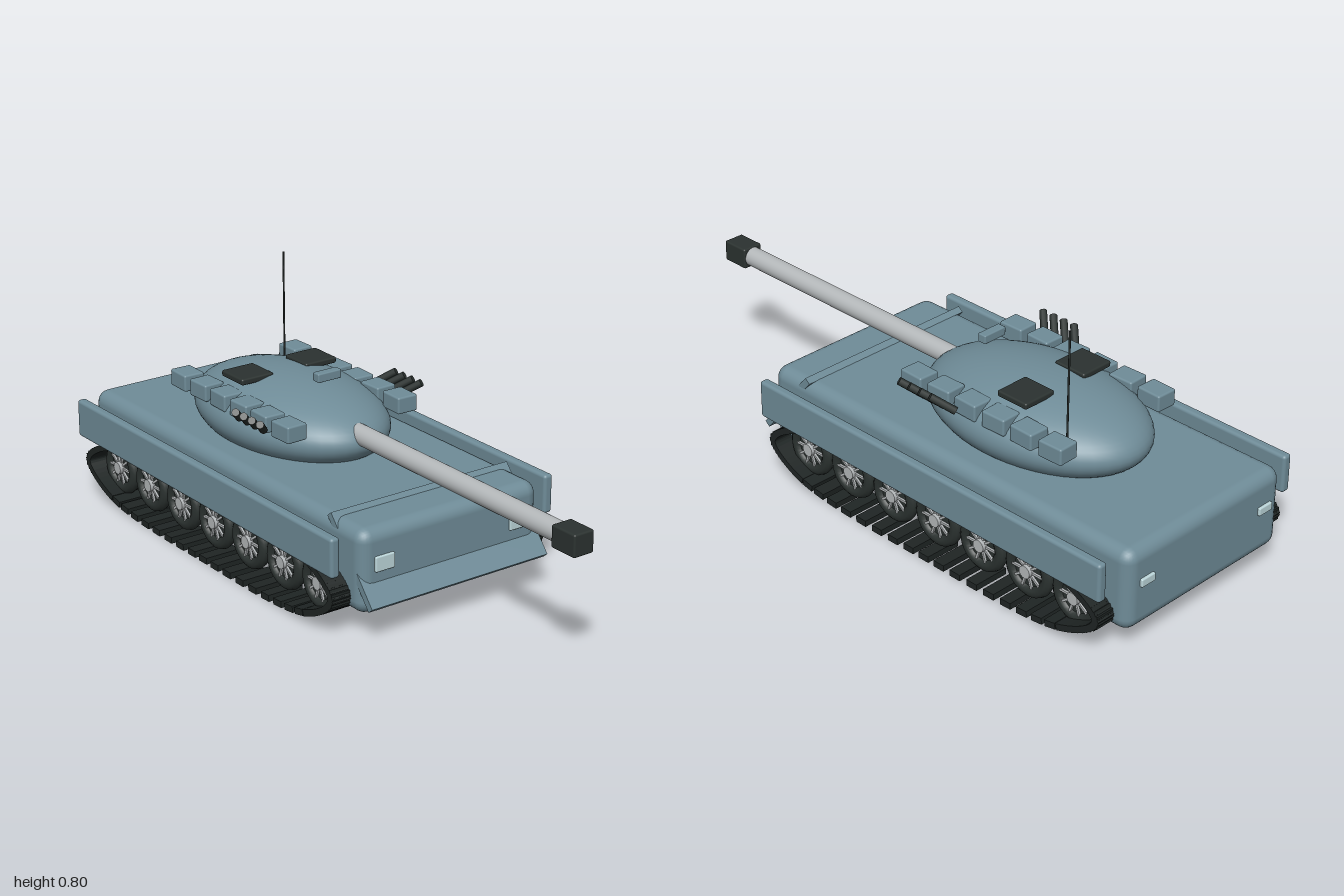
import * as THREE from 'three';
import { RoundedBoxGeometry } from 'three/addons/geometries/RoundedBoxGeometry.js';

const paint = (name, color) => {
  const m = new THREE.MeshStandardMaterial({ color });
  m.name = name;
  return m;
};

export function createModel() {
  const armour = paint('armour blue grey', 0x6f8c98);
  const dark = paint('dark metal', 0x2b3230);
  const rubber = paint('track rubber', 0x1f2524);
  const steel = paint('bare steel', 0xb4b8ba);
  const lamp = paint('lamp glass', 0xbcd6da);

  const tank = new THREE.Group();
  tank.name = 'tank';
  const add = (name, geometry, material, x, y, z, parent = tank) => {
    const mesh = new THREE.Mesh(geometry, material);
    mesh.name = name;
    mesh.position.set(x, y, z);
    parent.add(mesh);
    return mesh;
  };
  const box = (w, h, d, r) => new RoundedBoxGeometry(w, h, d, 3, r);

  // Hull and the sloped front plate that passes through it
  add('hull', box(1.435, 0.26, 0.645, 0.04), armour, -0.273, 0.2, 0);
  const glacis = add('glacisPlate', new THREE.BoxGeometry(0.3, 0.022, 0.64), armour, 0.386, 0.222, 0);
  glacis.rotation.z = -0.87;

  // Turret, gun and roof fittings
  const dome = add('turret', new THREE.SphereGeometry(1, 48, 32), armour, -0.35, 0.385, 0);
  dome.scale.set(0.385, 0.128, 0.25);
  const barrel = add('gunBarrel', new THREE.CylinderGeometry(0.031, 0.031, 0.95, 32), steel, 0.45, 0.412, 0);
  barrel.rotation.z = Math.PI / 2;
  add('muzzle', box(0.095, 0.068, 0.07, 0.006), dark, 0.9525, 0.412, 0);
  add('sight', box(0.03, 0.028, 0.085, 0.004), armour, -0.16, 0.55, 0);
  add('antenna', new THREE.CylinderGeometry(0.003, 0.003, 0.345, 8), dark, -0.605, 0.6225, -0.155);

  // Closed path followed by the track links
  const path = new THREE.CatmullRomCurve3([
    [-0.93, 0.12], [-0.81, 0.2], [-0.27, 0.229], [0.27, 0.2],
    [0.38, 0.12], [0.27, 0.04], [-0.27, 0.011], [-0.81, 0.04],
  ].map(([x, y]) => new THREE.Vector3(x, y, 0)), true);

  const linkGeometry = new THREE.BoxGeometry(0.04, 0.02, 0.12);
  const tyreGeometry = new THREE.TorusGeometry(0.068, 0.02, 10, 32);
  const backGeometry = new THREE.CylinderGeometry(0.06, 0.06, 0.016, 24).rotateX(Math.PI / 2);
  const hubGeometry = new THREE.CylinderGeometry(0.02, 0.02, 0.05, 16).rotateX(Math.PI / 2);
  const spokeGeometry = new THREE.BoxGeometry(0.05, 0.007, 0.012).translate(0.035, 0, 0);
  const stowageGeometry = box(0.085, 0.053, 0.07, 0.006);
  const tubeGeometry = new THREE.CylinderGeometry(0.012, 0.012, 0.085, 12);
  const up = new THREE.Vector3(0, 1, 0);

  for (const s of [1, -1]) {
    const side = new THREE.Group();
    side.name = s > 0 ? 'rightSide' : 'leftSide';
    tank.add(side);

    add('skirt', box(1.37, 0.122, 0.031, 0.01), armour, -0.273, 0.26, s * 0.387, side);
    add('hatch', box(0.113, 0.02, 0.115, 0.006), dark, -0.41, 0.505, s * 0.118, side);
    add('headlight', box(0.012, 0.047, 0.067, 0.004), lamp, 0.446, 0.225, s * 0.243, side);
    add('tailLight', box(0.014, 0.026, 0.055, 0.004), lamp, -0.992, 0.223, s * 0.247, side);

    // Track links
    const links = 72;
    for (let i = 0; i < links; i++) {
      const p = path.getPoint(i / links);
      const t = path.getTangent(i / links);
      const link = add('trackLink', linkGeometry, rubber, p.x, p.y, s * 0.326, side);
      link.rotation.z = Math.atan2(t.y, t.x);
    }

    // Spoked road wheels
    for (let i = 0; i < 7; i++) {
      const wheel = new THREE.Group();
      wheel.name = 'roadWheel';
      wheel.position.set(-0.815 + i * 0.18, 0.12, s * 0.325);
      side.add(wheel);
      add('tyre', tyreGeometry, dark, 0, 0, 0, wheel);
      add('wheelBack', backGeometry, dark, 0, 0, 0, wheel);
      add('hub', hubGeometry, steel, 0, 0, 0, wheel);
      for (let k = 0; k < 10; k++) {
        const spoke = add('spoke', spokeGeometry, steel, 0, 0, s * 0.009, wheel);
        spoke.rotation.z = k * Math.PI / 5;
      }
    }

    // Stowage boxes along the turret
    for (let i = 0; i < 6; i++) {
      const b = add('stowageBox', stowageGeometry, armour, -0.615 + i * 0.109, 0.45, s * 0.204, side);
      b.rotation.y = s * (i % 2 ? 0.03 : -0.03);
    }

    // Smoke launchers, tilted up, out and forward
    const aim = new THREE.Vector3(0.055, 0.045, s * 0.05).normalize();
    for (let i = 0; i < 4; i++) {
      const tube = add('smokeLauncher', tubeGeometry, dark, -0.236 + i * 0.042, 0.461, s * 0.273, side);
      tube.quaternion.setFromUnitVectors(up, aim);
    }
  }
  return tank;
}
